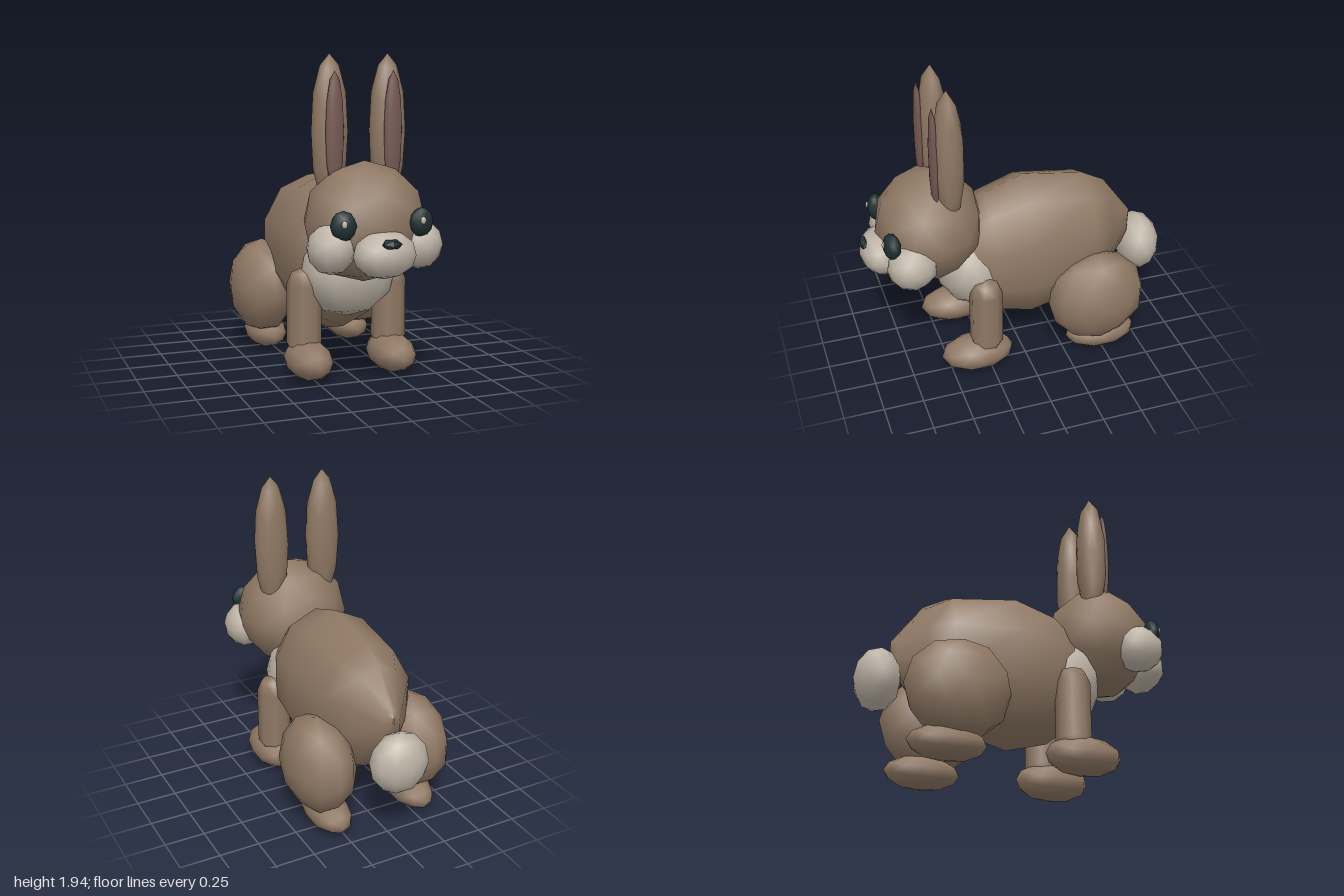
import * as THREE from 'three';

const mat = (color) => new THREE.MeshStandardMaterial({ color });

// Low-poly ball with smooth normals, stretched to the given radii
function ball(name, material, center, radii, turn = [0, 0, 0], detail = 1) {
  const mesh = new THREE.Mesh(new THREE.IcosahedronGeometry(1, detail), material);
  mesh.name = name;
  mesh.position.set(...center);
  mesh.scale.set(...radii);
  mesh.rotation.set(...turn);
  return mesh;
}

// Oval rings along z; each station is [z, top, bottom, halfWidth]
function loftGeometry(stations, sides) {
  const positions = [];
  const index = [];
  stations.forEach(([z, top, bottom, halfWidth], i) => {
    for (let j = 0; j < sides; j++) {
      const a = (j / sides) * Math.PI * 2 + Math.PI / 2;
      positions.push(Math.cos(a) * halfWidth, (top + bottom) / 2 + Math.sin(a) * (top - bottom) / 2, z);
      if (i === 0) continue;
      const k = (j + 1) % sides;
      const p = (i - 1) * sides;
      const q = i * sides;
      index.push(p + j, p + k, q + j, p + k, q + k, q + j);
    }
  });
  const geometry = new THREE.BufferGeometry();
  geometry.setAttribute('position', new THREE.Float32BufferAttribute(positions, 3));
  geometry.setIndex(index);
  geometry.computeVertexNormals();
  return geometry;
}

export function createModel() {
  const model = new THREE.Group();
  model.name = 'rabbit';
  const fur = mat(0x8f7864);
  const pale = mat(0xbdb3a6);
  const pink = mat(0x765853);
  const dark = mat(0x1f2f30);

  // Body, fuller toward the rear
  const body = new THREE.Mesh(loftGeometry([
    [-0.79, 0.81, 0.77, 0.005],
    [-0.76, 0.85, 0.6, 0.06],
    [-0.6, 1.07, 0.42, 0.2],
    [-0.46, 1.145, 0.31, 0.315],
    [-0.06, 1.21, 0.2, 0.335],
    [0.2, 1.12, 0.27, 0.3],
    [0.37, 0.97, 0.42, 0.22],
    [0.48, 0.72, 0.6, 0.005],
  ], 10), fur);
  body.name = 'body';

  // Parts on the centre line
  model.add(
    body,
    ball('chest', pale, [0, 0.65, 0.29], [0.3, 0.29, 0.24]),
    ball('head', fur, [0, 0.98, 0.55], [0.365, 0.355, 0.335]),
    ball('muzzle', pale, [0, 0.837, 0.86], [0.19, 0.138, 0.13]),
    ball('nose', dark, [0, 0.908, 0.957], [0.065, 0.034, 0.035], [-0.3, 0, 0], 0),
    ball('tail', pale, [0, 0.555, -0.858], [0.188, 0.195, 0.142]),
  );

  // Paired parts
  for (const side of [1, -1]) {
    const label = side > 0 ? 'left' : 'right';
    const pair = (name, material, [x, y, z], radii, turn) =>
      model.add(ball(label + name, material, [side * x, y, z], radii, turn));

    pair('Cheek', pale, [0.268, 0.862, 0.72], [0.138, 0.148, 0.155]);
    pair('Eye', dark, [0.235, 1.005, 0.83], [0.075, 0.086, 0.05], [0, side * 0.25, 0]);
    model.add(ball(label + 'EyeHighlight', pale, [side * 0.235 - 0.01, 1.02, 0.876], [0.017, 0.022, 0.012]));
    pair('Ear', fur, [0.18, 1.5, 0.455], [0.112, 0.445, 0.095]);
    pair('InnerEar', pink, [0.18, 1.5, 0.543], [0.057, 0.35, 0.028]);

    // Front leg and paw
    const leg = new THREE.Mesh(new THREE.CapsuleGeometry(0.106, 0.36, 2, 8), fur);
    leg.name = label + 'FrontLeg';
    leg.position.set(side * 0.275, 0.39, 0.27);
    leg.rotation.y = Math.PI / 8;
    model.add(leg);
    pair('FrontPaw', fur, [0.27, 0.12, 0.33], [0.137, 0.118, 0.235]);

    // Hind thigh and foot
    pair('Thigh', fur, [0.325, 0.425, -0.45], [0.21, 0.31, 0.32]);
    pair('HindFoot', fur, [0.29, 0.105, -0.5], [0.13, 0.103, 0.235]);
  }
  return model;
}
